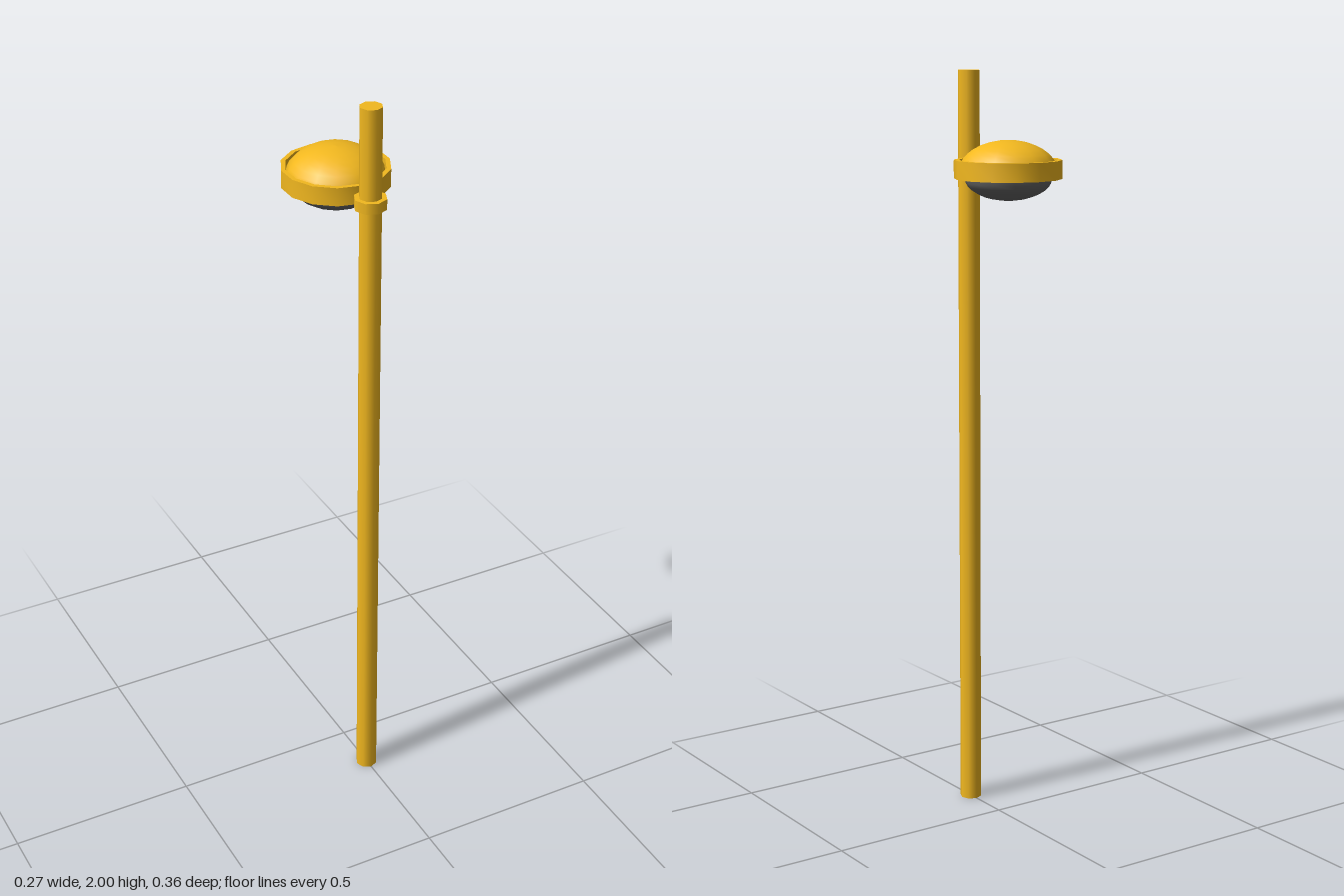
import * as THREE from 'three';
import { toCreasedNormals } from 'three/addons/utils/BufferGeometryUtils.js';

const yellow = new THREE.MeshStandardMaterial({ color: 0xf2b81f });
const darkGrey = new THREE.MeshStandardMaterial({ color: 0x666666 });
const POLE_Z = 0.138, HEAD_Z = -0.043, HEAD_SIDES = 14;

export function createModel() {
  const model = new THREE.Group();
  model.name = 'streetLamp';

  const add = (name, geometry, material, y, z) => {
    const mesh = new THREE.Mesh(geometry, material);
    mesh.name = name;
    mesh.position.set(0, y, z);
    model.add(mesh);
  };

  // Quarter-ellipse profile revolved into a shallow cap, bulging up or down
  const cap = (radius, height, up) => {
    const points = [];
    for (let i = 0; i <= 8; i++) {
      const a = (i / 8) * Math.PI / 2;
      const r = i === 8 ? 0 : radius * Math.cos(a);
      points.push(new THREE.Vector2(r, height * Math.sin(a) * (up ? 1 : -1)));
    }
    if (!up) points.reverse();
    return new THREE.LatheGeometry(points, HEAD_SIDES);
  };

  // Eight-sided pole and the collar that holds the head
  add('pole', new THREE.CylinderGeometry(0.029, 0.029, 2, 8), yellow, 1, POLE_Z);
  add('collar', new THREE.CylinderGeometry(0.042, 0.042, 0.028, 8), yellow, 1.751, POLE_Z);

  // Rim: flat underside, outer wall, top lip and recess around the dome
  const rim = [[0.108, 0], [0.139, 0], [0.139, 0.048], [0.127, 0.048], [0.127, 0.015]]
    .map(([r, y]) => new THREE.Vector2(r, y));
  add('lampRim', toCreasedNormals(new THREE.LatheGeometry(rim, HEAD_SIDES), 0.6), yellow, 1.73, HEAD_Z);

  // Dome above and lens below
  add('lampDome', cap(0.127, 0.08, true), yellow, 1.748, HEAD_Z);
  add('lens', cap(0.112, 0.056, false), darkGrey, 1.73, HEAD_Z);

  return model;
}
